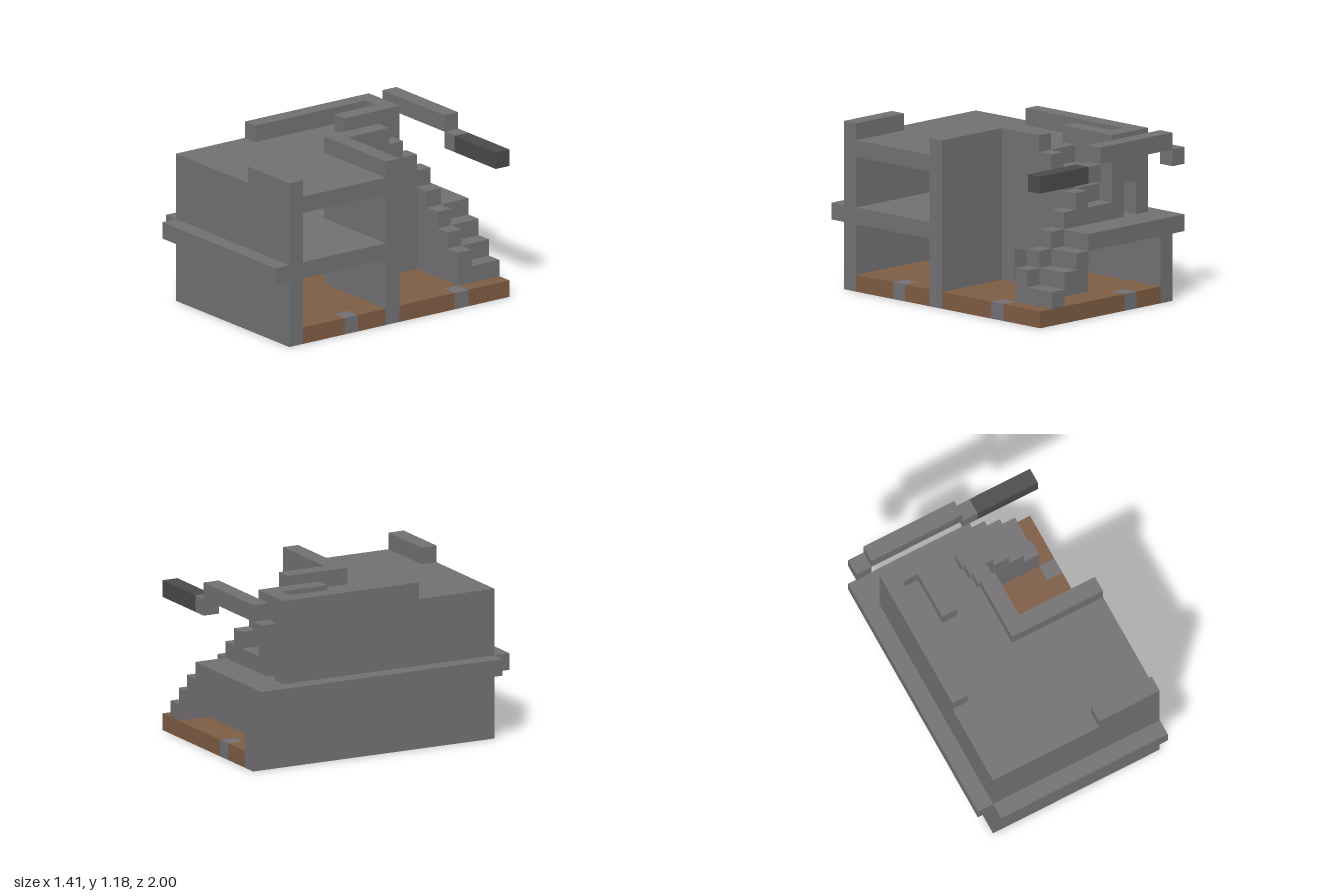
import * as THREE from 'three';

// The house sits on a block grid: 12 wide, 10 high, 17 deep
const U = 2 / 17;

export function createModel() {
  const model = new THREE.Group();
  const paint = (name, color) => {
    const m = new THREE.MeshStandardMaterial({ color });
    m.name = name;
    return m;
  };
  const stone = paint('stone grey', 0x727073);
  const wood = paint('wood brown', 0x7d5c43);
  const dark = paint('dark grey', 0x4a4a4a);

  // Each box is [x0, x1, y0, y1, z0, z1] in grid lines, z running from back to front
  const part = (name, material, boxes) => {
    const group = new THREE.Group();
    group.name = name;
    for (const [x0, x1, y0, y1, z0, z1] of boxes) {
      const geo = new THREE.BoxGeometry((x1 - x0) * U, (y1 - y0) * U, (z1 - z0) * U);
      const mesh = new THREE.Mesh(geo, material);
      mesh.name = name + 'Block';
      mesh.position.set(((x0 + x1) / 2 - 6) * U, ((y0 + y1) / 2) * U, ((z0 + z1) / 2 - 8.5) * U);
      group.add(mesh);
    }
    model.add(group);
  };

  // Wooden ground floor, leaving room for the wall footings and single stones
  part('woodenFloor', wood, [
    [2, 4, 0, 1, 0, 1], [5, 12, 0, 1, 0, 1],
    [2, 12, 0, 1, 1, 2],
    [2, 6, 0, 1, 2, 9], [11, 12, 0, 1, 2, 3],
    [7, 11, 0, 1, 3, 4], [7, 12, 0, 1, 4, 8],
    [2, 12, 0, 1, 9, 11], [2, 11, 0, 1, 11, 12], [2, 12, 0, 1, 12, 15],
  ]);
  part('floorStone', stone, [
    [11, 12, 0, 1, 11, 12], [11, 12, 0, 1, 3, 4], [4, 5, 0, 1, 0, 1],
  ]);

  // Outer walls
  part('frontWall', stone, [[1, 12, 0, 9, 15, 16]]);
  part('leftWall', stone, [[1, 2, 0, 4, 0, 15], [1, 2, 5, 9, 2, 15]]);
  part('crossWall', stone, [[6, 12, 0, 10, 8, 9]]);

  // Courtyard wall with a doorway, its top stepping down along the upper stairs
  part('courtyardWall', stone, [
    [6, 7, 0, 7, 2, 3], [6, 7, 0, 8, 3, 4], [6, 7, 0, 9, 4, 5],
    [6, 7, 0, 1, 5, 7], [6, 7, 3, 10, 5, 7], [6, 7, 0, 10, 7, 8],
  ]);

  // Upper back wall with a doorway, and the wall beside the upper stairs
  part('upperBackWall', stone, [
    [2, 3, 7, 9, 2, 3], [3, 4, 5, 9, 2, 6],
  ]);

  // Upper floor, ledges and roof
  part('upperFloor', stone, [
    [1, 7, 4, 5, 0, 2], [1, 6, 4, 5, 2, 9], [2, 12, 4, 5, 9, 15], [1, 2, 4, 5, 9, 15],
  ]);
  part('ledge', stone, [[0, 1, 4, 5, 0, 16], [1, 12, 4, 5, 16, 17]]);
  part('roof', stone, [
    [2, 3, 8, 9, 3, 6], [4, 6, 8, 9, 5, 6], [2, 6, 8, 9, 6, 9], [2, 12, 8, 9, 9, 15],
  ]);
  part('parapet', stone, [
    [8, 12, 9, 10, 15, 16],
    [1, 2, 9, 10, 2, 11], [2, 3, 9, 10, 2, 3], [3, 4, 9, 10, 2, 6],
  ]);

  // Lower stairs climb along the back, upper stairs climb towards the front
  const lowerSteps = [], lowerRail = [], upperSteps = [];
  for (let s = 0; s < 4; s++) {
    lowerSteps.push([10 - s, 11 - s, 1 + s, 2 + s, 0, 2]);
    lowerRail.push([10 - s, 11 - s, 0, 3 + s, 2, 3]);
    if (s < 3) upperSteps.push([4, 6, 5 + s, 6 + s, 2 + s, 3 + s]);
  }
  part('lowerSteps', stone, lowerSteps);
  part('lowerStairWall', stone, lowerRail);
  part('upperSteps', stone, upperSteps);

  // Beam hanging above the back edge
  part('backBeam', stone, [[0, 1, 8, 9, 0, 1], [1, 7, 9, 10, 0, 1], [7, 8, 8, 9, 0, 1]]);
  part('darkBeam', dark, [[8, 12, 8, 9, 0, 1]]);

  return model;
}
